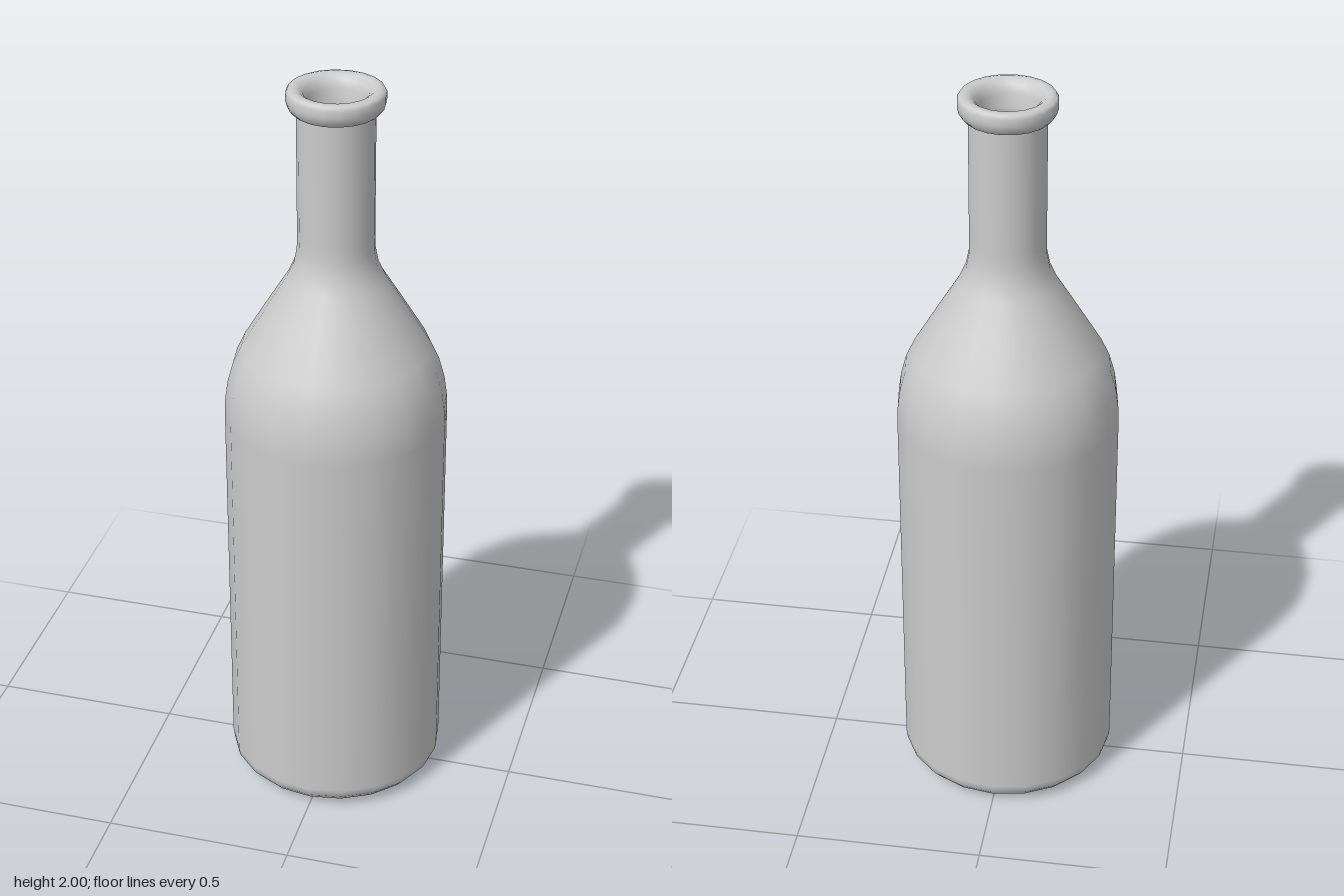
import * as THREE from 'three';

const SIDES = 20;

function lathe(name, points, material) {
  const profile = points.map(([r, y]) => new THREE.Vector2(r, y));
  const mesh = new THREE.Mesh(new THREE.LatheGeometry(profile, SIDES), material);
  mesh.name = name;
  return mesh;
}

export function createModel() {
  const group = new THREE.Group();
  group.name = 'bottle';
  const glass = new THREE.MeshStandardMaterial({ color: 0xcccccc });

  // Base, straight body, sloping shoulder and neck, from the bottom up
  const outer = [
    [0, 0], [0.23, 0], [0.248, 0.003], [0.27, 0.018], [0.287, 0.038], [0.29, 0.06],
    [0.29, 1.1], [0.288, 1.14], [0.281, 1.19], [0.266, 1.245], [0.243, 1.295],
    [0.18, 1.4], [0.125, 1.49], [0.107, 1.53], [0.099, 1.57], [0.098, 1.61], [0.098, 1.94],
  ];

  // Rounded lip, rolling over into the mouth
  const lip = [
    [0.098, 1.938], [0.11, 1.943], [0.12, 1.955], [0.124, 1.97], [0.124, 1.988],
    [0.119, 1.997], [0.108, 2], [0.095, 1.998], [0.082, 1.988], [0.072, 1.968], [0.067, 1.93],
  ];

  // Hollow inside, from the mouth down to the floor
  const inner = [
    [0.067, 1.93], [0.067, 1.58], [0.078, 1.53], [0.1, 1.48], [0.215, 1.29],
    [0.25, 1.19], [0.26, 1.1], [0.26, 0.08], [0.235, 0.04], [0.2, 0.035], [0, 0.035],
  ];

  group.add(
    lathe('body', outer, glass),
    lathe('lip', lip, glass),
    lathe('innerWall', inner, glass),
  );
  return group;
}
